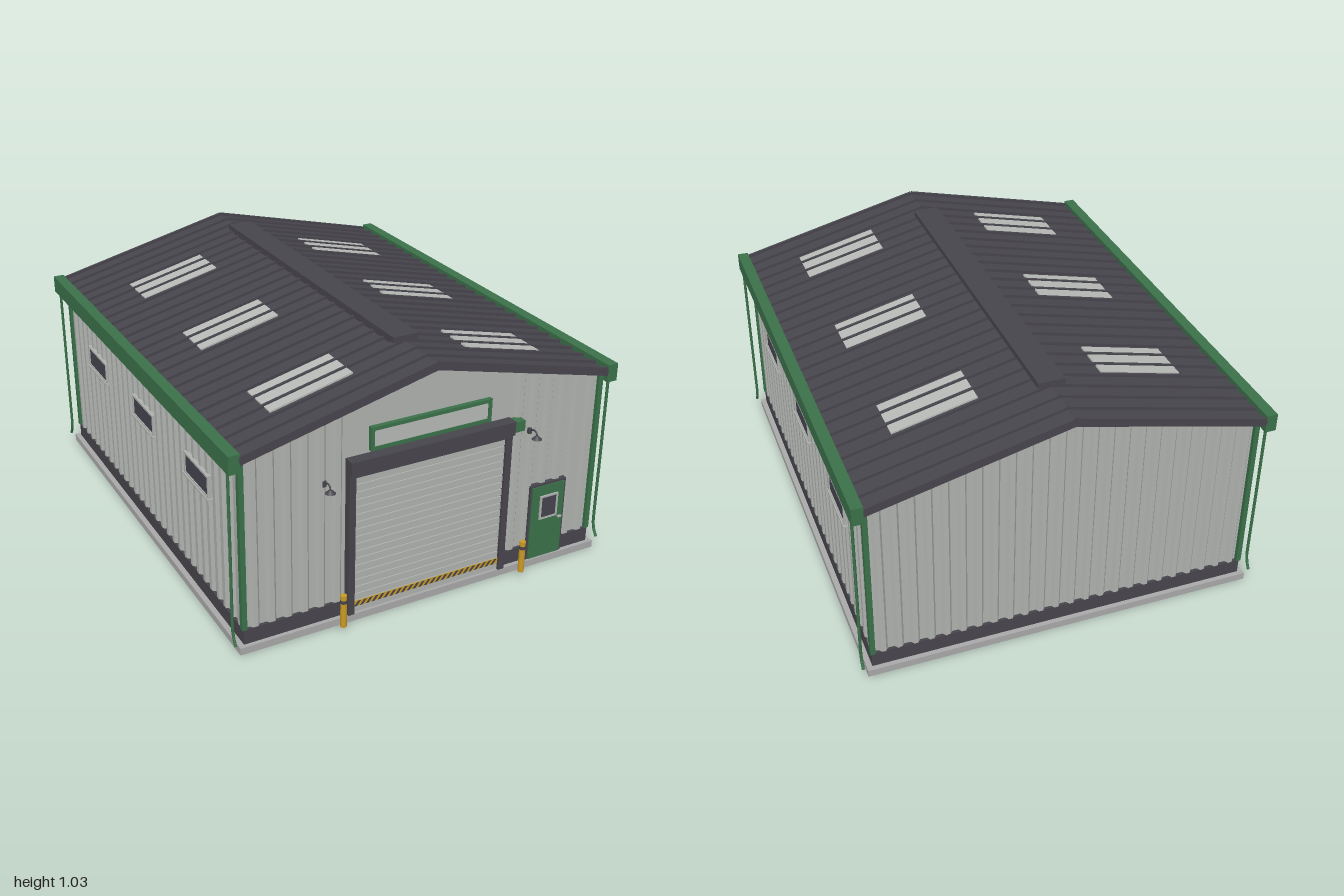
import * as THREE from 'three';

const mat = (name, color) => {
  const m = new THREE.MeshStandardMaterial({ color });
  m.name = name;
  return m;
};

export function createModel() {
  const root = new THREE.Group();
  root.name = 'warehouse';
  const wall = mat('wallGrey', 0xaeb1ae), dark = mat('charcoal', 0x47454c);
  const green = mat('trimGreen', 0x3a7049), yellow = mat('safetyYellow', 0xc89a24);
  const concrete = mat('concreteGrey', 0xa8a8a8), clear = mat('skylightGrey', 0xb6b9b6);
  const glass = mat('darkGlass', 0x45444e);

  const add = (name, geo, m, x = 0, y = 0, z = 0, parent = root) => {
    const mesh = new THREE.Mesh(geo, m);
    mesh.name = name;
    mesh.position.set(x, y, z);
    parent.add(mesh);
    return mesh;
  };
  // box given by its limits on each axis
  const box = (name, m, x0, x1, y0, y1, z0, z1, parent = root) =>
    add(name, new THREE.BoxGeometry(x1 - x0, y1 - y0, z1 - z0), m,
      (x0 + x1) / 2, (y0 + y1) / 2, (z0 + z1) / 2, parent);
  // rectangular border built from four bars, facing +z
  const border = (name, m, w, h, t, d, parent) => {
    for (const s of [-1, 1]) {
      add(name, new THREE.BoxGeometry(w, t, d), m, 0, s * (h - t) / 2, 0, parent);
      add(name, new THREE.BoxGeometry(t, h - 2 * t, d), m, s * (w - t) / 2, 0, 0, parent);
    }
  };

  const zBack = -0.945, zFront = 0.905, zMid = -0.02, halfW = 0.765;
  const ridgeY = 1.003, slope = 0.243, roofAngle = Math.atan(slope);
  const gableTop = x => 0.99 - slope * Math.abs(x);

  // slab, wall core and plinth
  box('slab', concrete, -0.8, 0.8, 0, 0.03, -0.978, 0.935);
  const gable = new THREE.Shape([[-halfW, 0.03], [halfW, 0.03], [halfW, gableTop(halfW)],
    [0, 0.99], [-halfW, gableTop(halfW)]].map(p => new THREE.Vector2(...p)));
  add('wallCore', new THREE.ExtrudeGeometry(gable, { depth: zFront - zBack, bevelEnabled: false }),
    wall, 0, 0, zBack);
  box('plinth', dark, -0.778, 0.778, 0.03, 0.093, -0.958, 0.918);

  // trapezoid wall cladding, facing +z, between u0 and u1
  const cladding = (u0, u1, ribs, top) => {
    const pts = [], step = (u1 - u0) / ribs, d = 0.012;
    for (let i = 0; i < ribs; i++) {
      [[0, 0], [0.25, 0], [0.4, d], [0.7, d], [0.85, 0]].forEach(([f, h]) => pts.push([u0 + (i + f) * step, h]));
    }
    pts.push([u1, 0]);
    const pos = [];
    for (let i = 0; i + 1 < pts.length; i++) {
      const [a, da] = pts[i], [b, db] = pts[i + 1], y = 0.09;
      pos.push(a, y, da, b, y, db, b, top(b), db, a, y, da, b, top(b), db, a, top(a), da);
    }
    const g = new THREE.BufferGeometry();
    g.setAttribute('position', new THREE.Float32BufferAttribute(pos, 3));
    g.computeVertexNormals();
    return g;
  };
  const eps = 0.001, halfL = (zFront - zBack) / 2;
  add('backCladding', cladding(-halfW, halfW, 24, gableTop), wall, 0, 0, zBack - eps).rotation.y = Math.PI;
  for (const s of [-1, 1]) {
    add('sideCladding', cladding(-halfL, halfL, 29, () => gableTop(halfW)), wall,
      s * (halfW + eps), 0, zMid).rotation.y = s * Math.PI / 2;
    add('frontCladding', s < 0 ? cladding(-halfW, -0.36, 6, gableTop) : cladding(0.36, halfW, 6, gableTop),
      wall, 0, 0, zFront + eps);
  }

  // roof: two slopes with standing ribs and skylights
  const zr0 = -1, zr1 = 0.945, len = 0.813, panels = 25;
  for (const s of [-1, 1]) {
    const side = new THREE.Group();
    side.name = s < 0 ? 'rightRoof' : 'leftRoof';
    side.position.y = ridgeY;
    side.rotation.z = -s * roofAngle;
    root.add(side);
    add('roofSheet', new THREE.BoxGeometry(len, 0.022, zr1 - zr0), dark, s * len / 2, -0.011, (zr0 + zr1) / 2, side);
    for (let i = 0; i <= panels; i++) {
      const z = THREE.MathUtils.lerp(zr0 + 0.006, zr1 - 0.006, i / panels);
      add('roofRib', new THREE.BoxGeometry(len, 0.012, 0.012), dark, s * len / 2, 0.006, z, side);
    }
    for (const z of [-0.57, 0.045, 0.665]) {
      add('skylight', new THREE.BoxGeometry(0.346, 0.008, 0.188), clear, s * 0.427, 0.003, z, side);
    }
  }
  box('ridgeVentBody', dark, -0.045, 0.045, 0.985, 1.012, -0.73, 0.67);
  box('ridgeVentCap', dark, -0.054, 0.054, 1.008, 1.03, -0.77, 0.715);

  // gutters, corner trims, downpipes and side windows
  for (const s of [-1, 1]) {
    add('gutter', new THREE.BoxGeometry(0.045, 0.073, zr1 - zr0), green, s * 0.807, 0.798, (zr0 + zr1) / 2);
    for (const [corner, dir] of [[0.91, 1], [-0.952, -1]]) {
      add('cornerTrim', new THREE.BoxGeometry(0.02, 0.715, 0.022), green, s * 0.774, 0.45, corner);
      const path = new THREE.CatmullRomCurve3([[0.77, 0], [0.4, 0], [0.11, 0], [0.085, 0.002], [0.045, 0.025]]
        .map(([y, k]) => new THREE.Vector3(s * 0.818, y, corner + dir * k)));
      add('downpipe', new THREE.TubeGeometry(path, 24, 0.006, 8), green);
    }
    for (const z of [0.537, -0.019, -0.575]) {
      const win = new THREE.Group();
      win.name = 'sideWindow';
      win.position.set(s * 0.78, 0.555, z);
      win.rotation.y = s * Math.PI / 2;
      root.add(win);
      border('windowFrame', wall, 0.23, 0.094, 0.009, 0.016, win);
      add('windowPane', new THREE.BoxGeometry(0.214, 0.078, 0.008), glass, 0, 0, 0, win);
      add('windowSill', new THREE.BoxGeometry(0.245, 0.008, 0.022), wall, 0, -0.049, 0.002, win);
    }
  }

  // roller door
  for (const s of [-1, 1]) add('doorJamb', new THREE.BoxGeometry(0.027, 0.61, 0.035), dark, s * 0.341, 0.335, 0.92);
  box('doorLintel', dark, -0.33, 0.33, 0.618, 0.64, 0.9, 0.935);
  box('rollHousing', dark, -0.355, 0.355, 0.636, 0.693, 0.9, 0.952);
  box('doorMotor', green, 0.355, 0.4, 0.645, 0.688, 0.9, 0.95);
  box('doorBacking', wall, -0.328, 0.328, 0.03, 0.62, 0.9, 0.921);
  for (let i = 0; i < 17; i++) {
    const y = 0.085 + i * 0.0315;
    box('doorSlat', wall, -0.328, 0.328, y, y + 0.026, 0.915, 0.926);
  }
  box('doorBottomBar', wall, -0.328, 0.328, 0.032, 0.083, 0.915, 0.926);
  box('hazardStrip', yellow, -0.328, 0.328, 0.058, 0.081, 0.924, 0.929);
  const stripes = [];
  for (let i = 0; i < 25; i++) {
    const x = -0.326 + i * 0.0258;
    stripes.push(new THREE.Shape([[x, 0.058], [x + 0.013, 0.058], [x + 0.031, 0.081], [x + 0.018, 0.081]]
      .map(([a, b]) => new THREE.Vector2(Math.min(a, 0.328), b))));
  }
  add('hazardStripes', new THREE.ShapeGeometry(stripes), dark, 0, 0, 0.93);

  // blank sign board above the door
  const sign = new THREE.Group();
  sign.name = 'signBoard';
  sign.position.set(0, 0.752, 0.914);
  root.add(sign);
  border('signFrame', green, 0.52, 0.096, 0.015, 0.018, sign);
  add('signPanel', new THREE.BoxGeometry(0.5, 0.075, 0.009), clear, 0, 0, 0, sign);

  // personnel door
  box('entryFrame', dark, 0.467, 0.64, 0.03, 0.367, 0.9, 0.926);
  box('entryDoor', green, 0.476, 0.631, 0.032, 0.358, 0.91, 0.931);
  const pane = new THREE.Group();
  pane.name = 'entryWindow';
  pane.position.set(0.557, 0.262, 0.932);
  root.add(pane);
  border('entryWindowFrame', wall, 0.086, 0.106, 0.008, 0.01, pane);
  add('entryWindowPane', new THREE.BoxGeometry(0.072, 0.092, 0.005), glass, 0, 0, 0, pane);
  box('entryHandle', wall, 0.606, 0.623, 0.197, 0.203, 0.93, 0.94);

  // wall lamps and bollards on both sides of the roller door
  for (const s of [-1, 1]) {
    const x = s * 0.448;
    add('lampShade', new THREE.CylinderGeometry(0.006, 0.02, 0.014, 16), dark, x, 0.61, 0.965);
    const arm = new THREE.CatmullRomCurve3([[0.614, 0.965], [0.628, 0.96], [0.632, 0.945], [0.618, 0.912]]
      .map(([y, z]) => new THREE.Vector3(x, y, z)));
    add('lampArm', new THREE.TubeGeometry(arm, 12, 0.0035, 6), dark);
    add('lampMount', new THREE.BoxGeometry(0.014, 0.024, 0.012), dark, x, 0.618, 0.916);
    add('bollard', new THREE.CylinderGeometry(0.0125, 0.0125, 0.138, 16), yellow, s * 0.402, 0.101, 0.987);
    add('bollardBand', new THREE.CylinderGeometry(0.013, 0.013, 0.014, 16), dark, s * 0.402, 0.143, 0.987);
  }
  return root;
}
